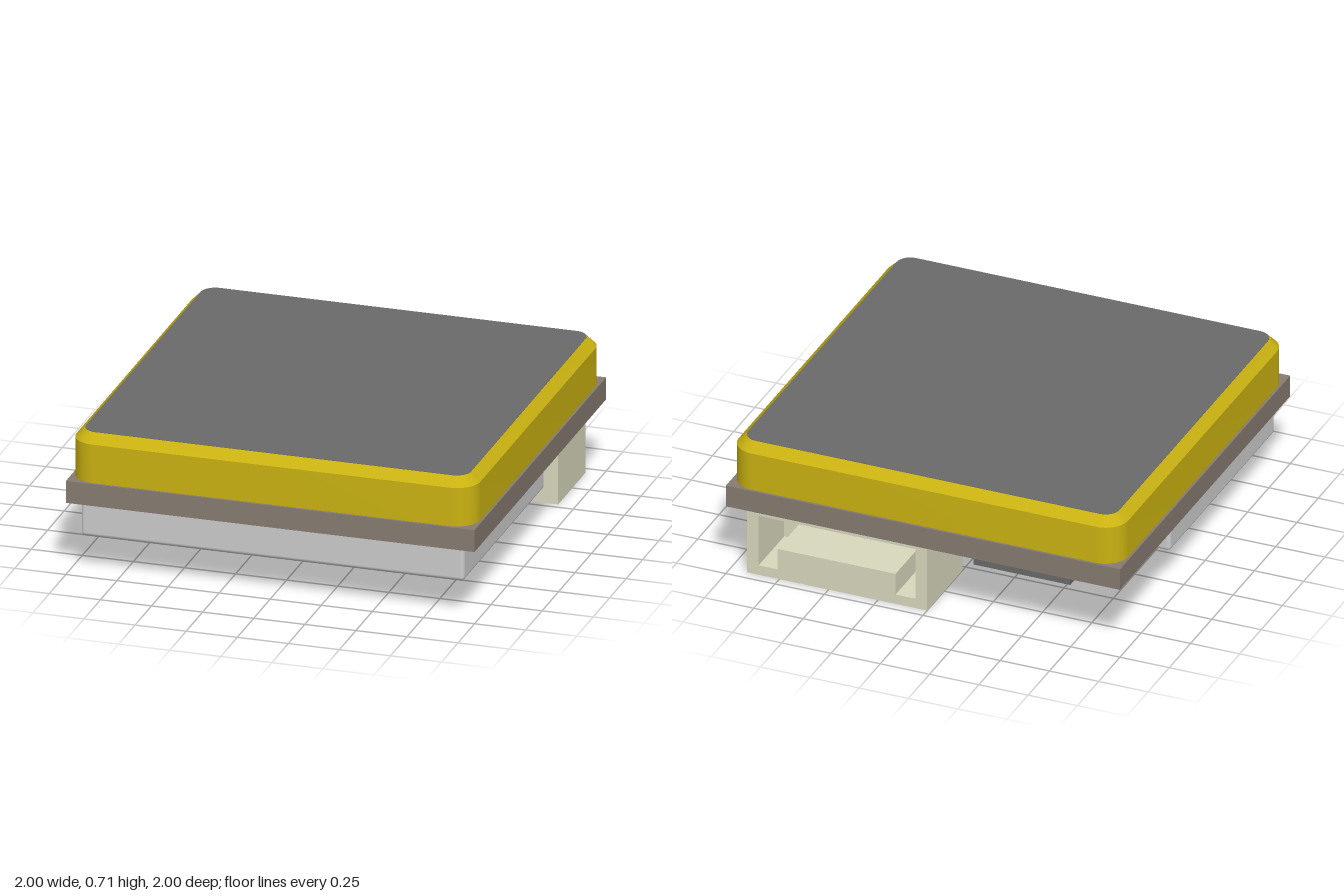
import * as THREE from 'three';
import { toCreasedNormals } from 'three/addons/utils/BufferGeometryUtils.js';
import { RoundedBoxGeometry } from 'three/addons/geometries/RoundedBoxGeometry.js';

const mat = (color) => new THREE.MeshStandardMaterial({ color });
const YELLOW = mat(0xcab211), BOARD = mat(0x867b70), DARK = mat(0x6a6a6a);
const METAL = mat(0xcccccc), IVORY = mat(0xd8d8be), MARK = mat(0xb0b0b0);

function add(parent, name, geometry, material) {
  const mesh = new THREE.Mesh(geometry, material);
  mesh.name = name;
  parent.add(mesh);
  return mesh;
}

// Box given by its limits on each axis
function span(x0, x1, y0, y1, z0, z1, radius = 0) {
  const size = [x1 - x0, y1 - y0, z1 - z0];
  const g = radius ? new RoundedBoxGeometry(...size, 3, radius) : new THREE.BoxGeometry(...size);
  return g.translate((x0 + x1) / 2, (y0 + y1) / 2, (z0 + z1) / 2);
}

// Square outline with rounded corners, centred on the origin
function roundedSquare(h, r) {
  const s = new THREE.Shape();
  s.absarc(h - r, h - r, r, 0, Math.PI / 2);
  s.absarc(r - h, h - r, r, Math.PI / 2, Math.PI);
  s.absarc(r - h, r - h, r, Math.PI, Math.PI * 1.5);
  s.absarc(h - r, r - h, r, Math.PI * 1.5, Math.PI * 2);
  s.closePath();
  return s;
}

const polygon = (points) => new THREE.Shape(points.map(([x, y]) => new THREE.Vector2(x, y)));

export function createModel() {
  const model = new THREE.Group();
  model.name = 'antennaModule';

  add(model, 'circuitBoard', span(-1, 1, 0.36, 0.47, -1, 1), BOARD);

  // Ceramic antenna: chamfered top edge, lower bevel sunk inside the board
  const ceramic = new THREE.ExtrudeGeometry(roundedSquare(0.943, 0.07), {
    depth: 0.195, bevelSize: 0.045, bevelThickness: 0.045, bevelSegments: 1, curveSegments: 8,
  });
  ceramic.rotateX(-Math.PI / 2).translate(0, 0.468, 0);
  add(model, 'ceramicAntenna', toCreasedNormals(ceramic, 0.5), YELLOW);
  const patch = new THREE.ExtrudeGeometry(roundedSquare(0.942, 0.07), {
    depth: 0.004, bevelEnabled: false, curveSegments: 8,
  });
  add(model, 'antennaPatch', patch.rotateX(-Math.PI / 2).translate(0, 0.706, 0), DARK);

  // Metal shield under the board with a dark label on its underside
  add(model, 'shieldCan', span(-0.945, 0.93, 0.18, 0.41, -0.285, 0.945, 0.02), METAL);
  add(model, 'shieldLabel', span(-0.925, 0.91, 0.178, 0.19, -0.265, 0.925), DARK);

  // Two-headed right-angle arrow, drawn in x and z
  const arrow = polygon([
    [-0.41, 0.665], [0.13, 0.665], [0.13, 0.77], [0.33, 0.62], [0.13, 0.475], [0.13, 0.58],
    [-0.33, 0.58], [-0.33, 0.165], [-0.22, 0.165], [-0.37, -0.03], [-0.52, 0.165], [-0.41, 0.165],
  ]);
  const arrowGeo = new THREE.ExtrudeGeometry(arrow, { depth: 0.008, bevelEnabled: false });
  add(model, 'axisArrows', arrowGeo.rotateX(Math.PI / 2).translate(0, 0.178, 0), MARK);

  // Socket: shell with a notched opening facing back, closed by an inner wall
  const connector = new THREE.Group();
  connector.name = 'connector';
  model.add(connector);
  const shell = polygon([[0, 0], [0.915, 0], [0.915, 0.36], [0, 0.36]]);
  shell.holes.push(polygon([
    [0.06, 0.05], [0.06, 0.315], [0.855, 0.315], [0.855, 0.05],
    [0.76, 0.05], [0.76, 0.16], [0.16, 0.16], [0.16, 0.05],
  ]));
  const shellGeo = new THREE.ExtrudeGeometry(shell, { depth: 0.3, bevelEnabled: false });
  add(connector, 'connectorShell', shellGeo.translate(0, 0, -0.95), IVORY);
  add(connector, 'connectorWall', span(0, 0.915, 0, 0.36, -0.65, -0.535), IVORY);

  // Sensor chip with four leads on each side
  const chip = new THREE.Group();
  chip.name = 'sensorChip';
  chip.position.set(-0.455, 0, -0.645);
  model.add(chip);
  add(chip, 'chipBody', span(-0.245, 0.245, 0.262, 0.36, -0.245, 0.245), DARK);
  for (let side = 0; side < 4; side++) {
    for (let i = 0; i < 4; i++) {
      const x = (i - 1.5) * 0.118;
      const lead = add(chip, 'chipLead', span(x - 0.025, x + 0.025, 0.33, 0.362, 0.24, 0.3), BOARD);
      lead.rotation.y = side * Math.PI / 2;
    }
  }
  const dot = new THREE.CylinderGeometry(0.04, 0.04, 0.006, 24);
  add(chip, 'chipDot', dot.translate(-0.18, 0.261, 0.15), MARK);

  return model;
}
